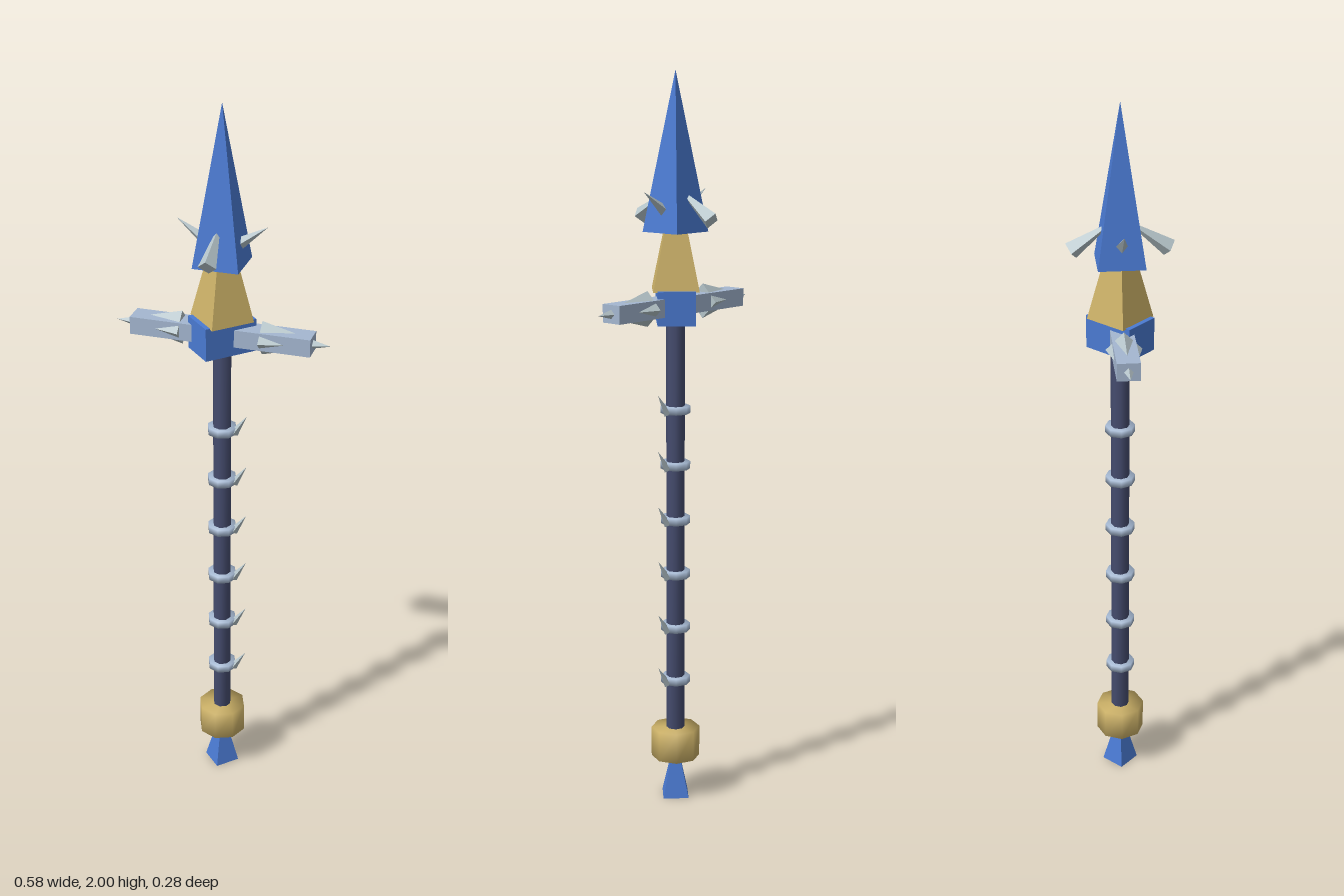
import * as THREE from 'three';
import { mergeVertices } from 'three/addons/utils/BufferGeometryUtils.js';

const mat = (name, color) => {
  const m = new THREE.MeshStandardMaterial({ color });
  m.name = name;
  return m;
};

// Faceted look: every face keeps its own normal
function faceted(geo) {
  const g = geo.index ? geo.toNonIndexed() : geo;
  g.computeVertexNormals();
  return g;
}

// Soft look: normals are shared across the rims as well
function softened(geo) {
  geo.deleteAttribute('uv');
  geo.deleteAttribute('normal');
  const g = mergeVertices(geo, 1e-4);
  g.computeVertexNormals();
  return g;
}

export function createModel() {
  const blue = mat('blue', 0x4a7ad2);
  const gold = mat('gold', 0xcdb268);
  const steel = mat('steel', 0xa4b7d0);
  const spikeGrey = mat('spike grey', 0xb4c3c8);
  const navy = mat('navy', 0x454c6e);

  const model = new THREE.Group();
  model.name = 'spear';

  function add(name, geo, material, x = 0, y = 0, z = 0) {
    const mesh = new THREE.Mesh(geo, material);
    mesh.name = name;
    mesh.position.set(x, y, z);
    model.add(mesh);
    return mesh;
  }

  // Four-sided spike running from its base centre to its tip
  const up = new THREE.Vector3(0, 1, 0);
  function spike(name, base, tip, radius) {
    const a = new THREE.Vector3(...base);
    const b = new THREE.Vector3(...tip);
    const dir = b.clone().sub(a);
    const length = dir.length();
    const mesh = add(name, faceted(new THREE.ConeGeometry(radius, length, 4)), spikeGrey);
    mesh.position.copy(a).add(b).multiplyScalar(0.5);
    mesh.quaternion.setFromUnitVectors(up, dir.normalize());
    return mesh;
  }

  // Foot and pommel
  add('footSpike', faceted(new THREE.ConeGeometry(0.05, 0.175, 4)), blue, 0, 0.0875);
  add('pommel', softened(new THREE.CylinderGeometry(0.067, 0.067, 0.085, 8)), gold, 0, 0.16);

  // Shaft
  add('shaft', softened(new THREE.CylinderGeometry(0.025, 0.025, 1.2, 8)), navy, 0, 0.76);

  // Rings along the shaft, each with a thorn on the left side
  for (let i = 0; i < 6; i++) {
    const y = 0.345 + i * 0.153;
    add('shaftRing', softened(new THREE.CylinderGeometry(0.04, 0.04, 0.02, 8)), steel, 0, y);
    spike('ringThorn', [0.033, y - 0.008, 0], [0.069, y + 0.047, 0], 0.012);
  }

  // Guard block, turned diagonally, with the crossbar through it
  const block = add('guardBlock', new THREE.BoxGeometry(0.146, 0.09, 0.1), blue, 0, 1.39);
  block.rotation.y = Math.PI / 4;
  add('crossbar', new THREE.BoxGeometry(0.486, 0.048, 0.06), steel, 0, 1.392);

  // Collar below the blade
  add('collar', faceted(new THREE.CylinderGeometry(0.043, 0.086, 0.155, 4)), gold, 0, 1.5095);

  // Blade
  const blade = add('blade', faceted(new THREE.ConeGeometry(0.0865, 0.415, 4, 1)), blue, 0, 1.7925);
  blade.rotation.y = Math.PI / 4;

  for (const s of [-1, 1]) {
    // Long spikes breaking through the crossbar
    spike('crossbarSpike', [s * 0.108, 1.392, 0], [s * 0.289, 1.392, 0], 0.047);
    // Blade thorns: side ones point outwards, front and back ones point inwards
    spike('sideThorn', [s * 0.008, 1.617, 0], [s * 0.12, 1.694, 0], 0.024);
    spike('bladeThorn', [0, 1.62, s * 0.125], [0, 1.7, s * 0.009], 0.024);
  }

  return model;
}
